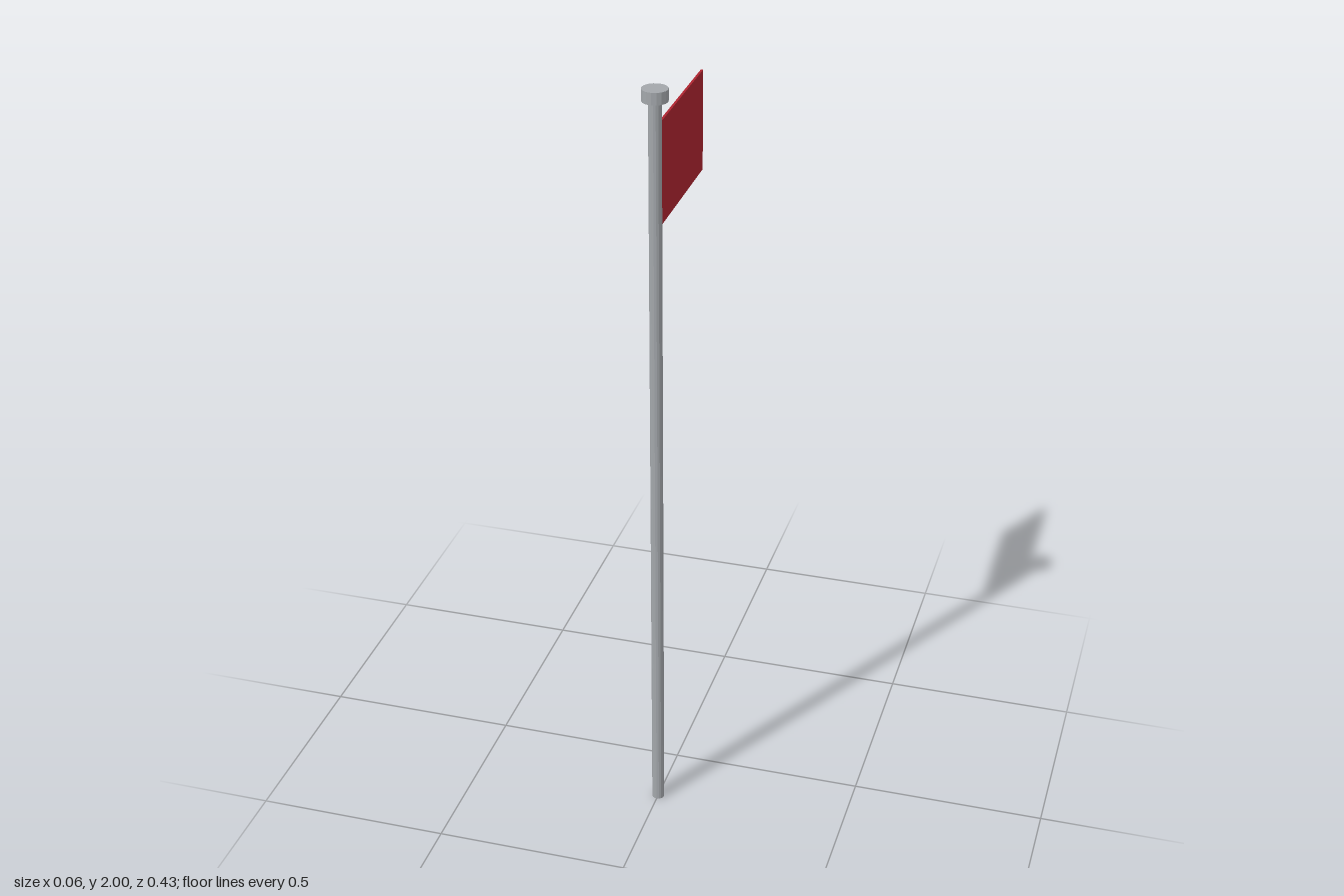
import * as THREE from 'three';

export function createModel() {
  const model = new THREE.Group();
  model.name = 'flagpole';

  const metal = new THREE.MeshStandardMaterial({ color: 0xa3a7ab, flatShading: true });
  metal.name = 'grey metal';
  const cloth = new THREE.MeshStandardMaterial({ color: 0xae2430 });
  cloth.name = 'red cloth';

  const poleZ = 0.184;

  const add = (name, geometry, material, y, z) => {
    const mesh = new THREE.Mesh(geometry, material);
    mesh.name = name;
    mesh.position.set(0, y, z);
    model.add(mesh);
  };

  // Upright pole, reaching up to the cap
  add('pole', new THREE.CylinderGeometry(0.016, 0.016, 1.97, 16), metal, 0.985, poleZ);

  // Wider disc on top
  add('cap', new THREE.CylinderGeometry(0.032, 0.032, 0.03, 16), metal, 1.985, poleZ);

  // Thin stiff flag running backwards from the pole
  const flagBack = -0.216;
  add('flag', new THREE.BoxGeometry(0.006, 0.26, poleZ - flagBack), cloth,
    1.775, (poleZ + flagBack) / 2);

  return model;
}
